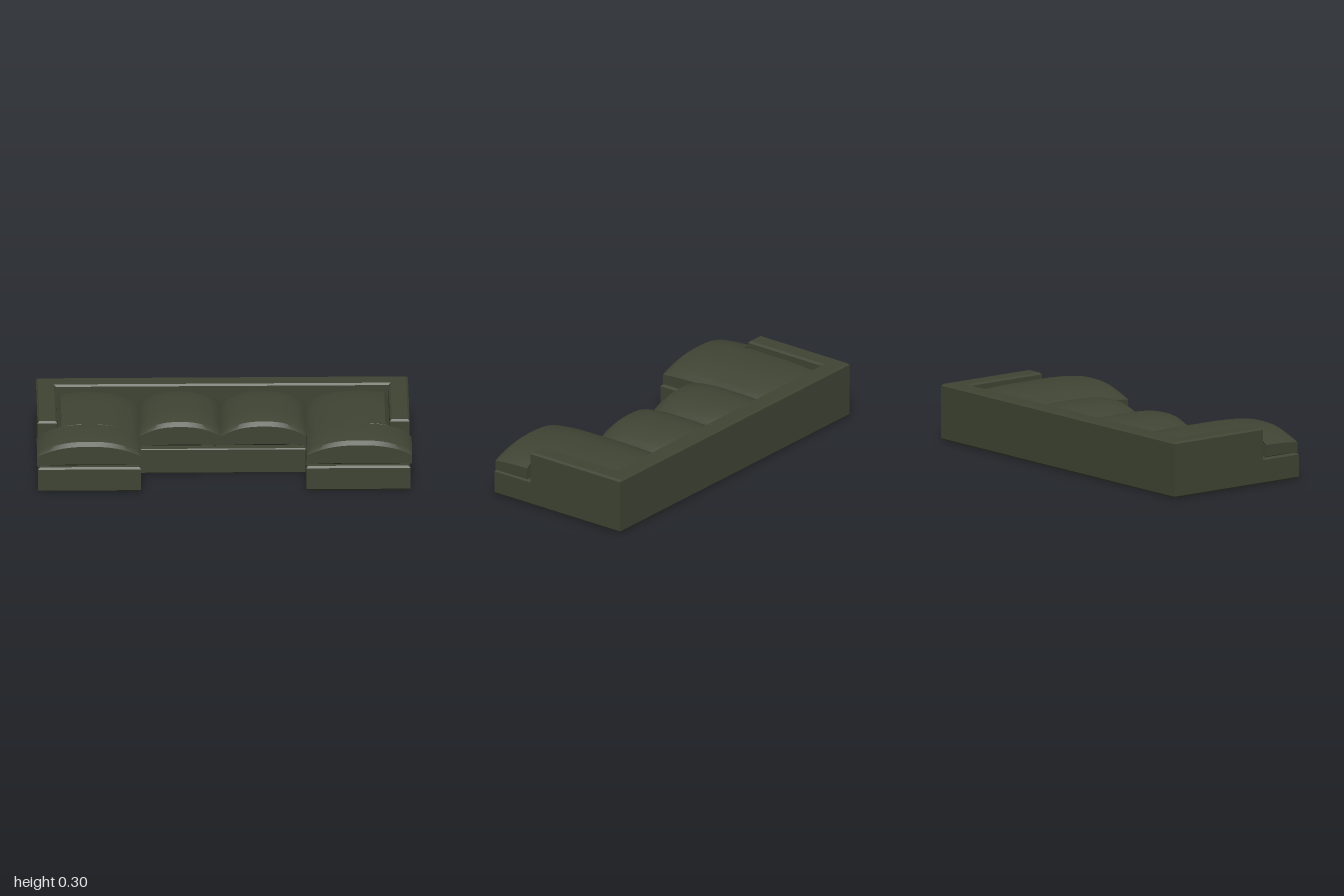
import * as THREE from 'three';
import { mergeVertices, toCreasedNormals } from 'three/addons/utils/BufferGeometryUtils.js';

const fabric = new THREE.MeshStandardMaterial({ color: 0x3f4434 });

function addMesh(group, name, geometry) {
  const mesh = new THREE.Mesh(geometry, fabric);
  mesh.name = name;
  group.add(mesh);
}

// Solid block from a footprint of [x, z] corners, with chamfered edges
function block(points, y0, y1, bevel = 0.01) {
  const shape = new THREE.Shape(points.map(([x, z]) => new THREE.Vector2(x, -z)));
  const geometry = new THREE.ExtrudeGeometry(shape, {
    depth: y1 - y0 - 2 * bevel, bevelEnabled: true, bevelSegments: 1,
    bevelSize: bevel, bevelOffset: -bevel, bevelThickness: bevel,
  });
  return geometry.rotateX(-Math.PI / 2).translate(0, y0 + bevel, 0);
}

const rectangle = (x0, x1, z0, z1) => [[x0, z1], [x1, z1], [x1, z0], [x0, z0]];

// Crowned cushion; behind armEnd its sides narrow to backX0..backX1
function cushion(x0, x1, zRows, backX0 = x0, backX1 = x1, armEnd = -1) {
  const levels = [-1, -0.8, 0.7, 1];
  const insets = [0.022, 0, 0, 0.022];
  const nx = 16, nz = zRows.length - 1;
  let geometry = new THREE.BoxGeometry(2, 2, 2, nx, 3, nz);
  const p = geometry.attributes.position;
  const cx = (x0 + x1) / 2, hx = (x1 - x0) / 2;
  const cz = (zRows[0] + zRows[nz]) / 2, hz = (zRows[nz] - zRows[0]) / 2;
  for (let i = 0; i < p.count; i++) {
    const level = Math.round((p.getY(i) + 1) * 1.5);
    const z = zRows[Math.round((p.getZ(i) + 1) / 2 * nz)];
    const [l, r] = z < armEnd ? [backX0, backX1] : [x0, x1];
    const inset = insets[level];
    const half = (r - l) / 2 - inset;
    const x = (l + r) / 2 + p.getX(i) * half;
    const u = Math.abs(x - cx) / hx, v = Math.abs(z - cz) / hz;
    const top = 0.225 + 0.065 * (1 - u ** 2.5) - 0.015 * v ** 4;
    const y = 0.14 + (top - 0.14) * (levels[level] + 1) / 2;
    p.setXYZ(i, x, y, cz + (z - cz) * (1 - inset / hz));
  }
  geometry.deleteAttribute('normal');
  geometry.deleteAttribute('uv');
  geometry = mergeVertices(geometry, 1e-5);
  return toCreasedNormals(geometry, 0.45);
}

export function createModel() {
  const sofa = new THREE.Group();
  sofa.name = 'sectionalSofa';

  // Backrest and both arms as one low U-shaped wall
  addMesh(sofa, 'backAndArms', block([
    [-0.995, 0.18], [-0.89, 0.18], [-0.89, -0.32], [0.88, -0.32],
    [0.88, 0.18], [0.985, 0.18], [0.985, -0.425], [-0.995, -0.425],
  ], 0, 0.305));

  // Three base sections
  addMesh(sofa, 'leftBase', block(rectangle(0.432, 0.985, -0.4, 0.425), 0, 0.14));
  addMesh(sofa, 'rightBase', block(rectangle(-0.995, -0.447, -0.4, 0.425), 0, 0.14));
  addMesh(sofa, 'middleBase', block(rectangle(-0.447, 0.432, -0.4, 0.175), 0, 0.14, 0.005));

  // Long chaise cushions that widen in front of the arms
  const longRows = [-0.315, -0.29, -0.22, -0.12, 0, 0.1, 0.17, 0.192, 0.196, 0.26, 0.33, 0.39, 0.41];
  addMesh(sofa, 'leftChaiseCushion', cushion(0.435, 0.995, longRows, 0.435, 0.878, 0.194));
  addMesh(sofa, 'rightChaiseCushion', cushion(-1, -0.45, longRows, -0.888, -0.45, 0.194));

  // Two short middle cushions
  const shortRows = [-0.325, -0.3, -0.24, -0.16, -0.09, -0.02, 0.05, 0.115, 0.145];
  addMesh(sofa, 'leftSeatCushion', cushion(-0.02, 0.435, shortRows));
  addMesh(sofa, 'rightSeatCushion', cushion(-0.455, -0.02, shortRows));

  return sofa;
}
